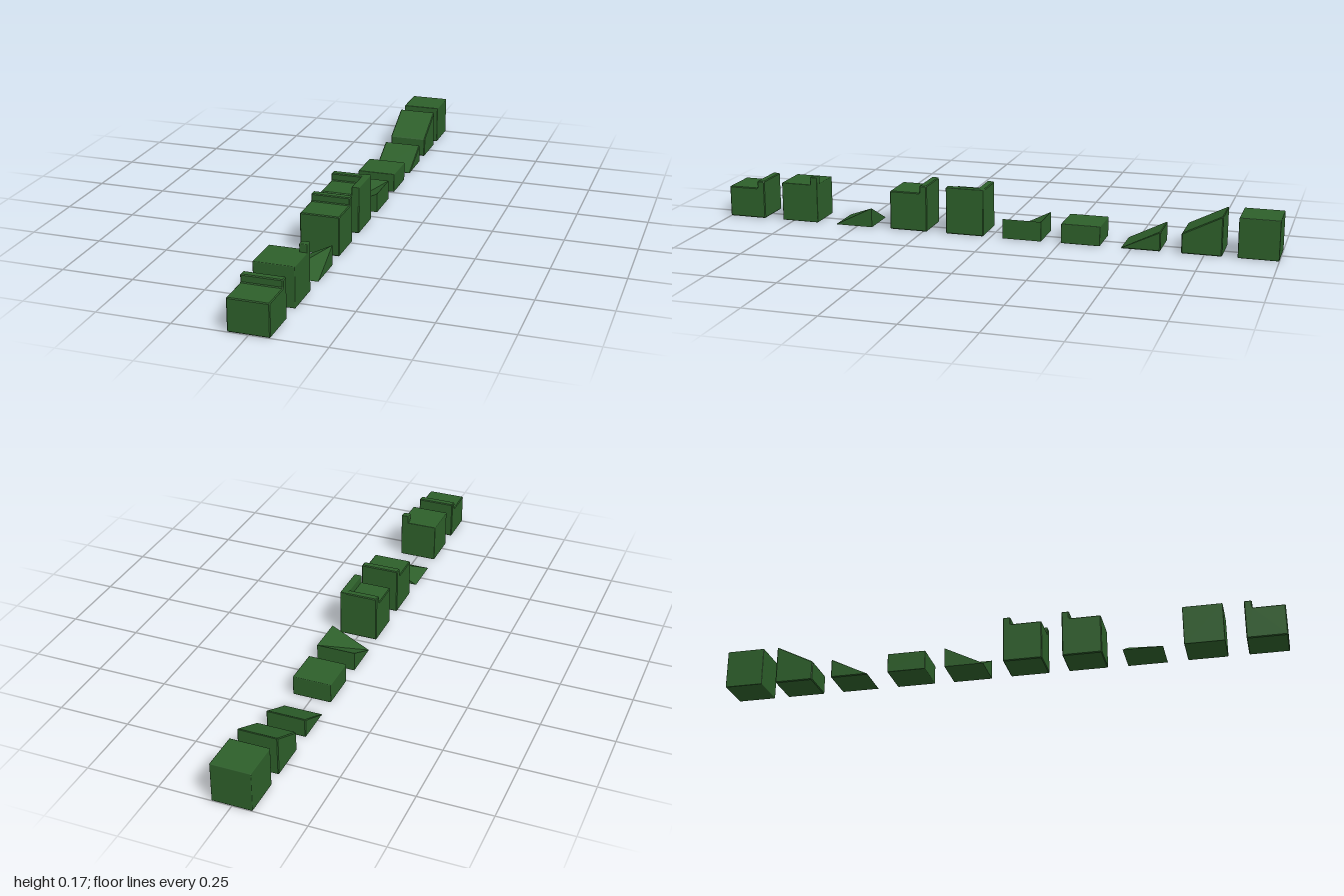
import * as THREE from 'three';
import { RoundedBoxGeometry } from 'three/addons/geometries/RoundedBoxGeometry.js';

const W = 0.138;      // tile footprint
const PITCH = 0.209;  // spacing along the row
const LOW = 0.07, BODY = 0.14, TOP = 0.168, RIM = 0.027;
const BEVEL = 0.003;

export function createModel() {
  const model = new THREE.Group();
  const material = new THREE.MeshStandardMaterial({ color: 0x2d5f2a });

  // Side profile (distance from tile front, height) with clipped corners, bevelled across x
  function profileGeometry(points) {
    const pts = points.map(p => new THREE.Vector2(...p));
    const outline = [];
    pts.forEach((p, i) => {
      for (const q of [pts.at(i - 1), pts[(i + 1) % pts.length]]) {
        outline.push(p.clone().add(q.clone().sub(p).setLength(BEVEL)));
      }
    });
    const g = new THREE.ExtrudeGeometry(new THREE.Shape(outline), {
      depth: W - 2 * BEVEL, bevelThickness: BEVEL, bevelSize: BEVEL,
      bevelOffset: -BEVEL, bevelSegments: 1,
    });
    return g.translate(0, 0, BEVEL - W / 2).rotateY(Math.PI / 2).translate(0, 0, W / 2);
  }

  // Block whose top folds along the front-left to back-right diagonal
  function foldedGeometry(heights) { // front-left, front-right, back-right, back-left
    const h = W / 2;
    const plan = [[-h, h], [h, h], [h, -h], [-h, -h]];
    const low = plan.map(([x, z]) => [x, 0, z]);
    const high = plan.map(([x, z], i) => [x, heights[i], z]);
    const tris = [high[0], high[1], high[2], high[0], high[2], high[3],
      low[0], low[2], low[1], low[0], low[3], low[2]];
    for (let i = 0; i < 4; i++) {
      const j = (i + 1) % 4;
      if (heights[j] > 0) tris.push(low[i], low[j], high[j]);
      if (heights[i] > 0) tris.push(low[i], high[j], high[i]);
    }
    const g = new THREE.BufferGeometry();
    g.setAttribute('position', new THREE.Float32BufferAttribute(tris.flat(), 3));
    g.computeVertexNormals();
    return g;
  }

  const block = height => new RoundedBoxGeometry(W, height, W, 1, BEVEL).translate(0, height / 2, 0);
  const ridged = base => profileGeometry([[0, 0], [W, 0], [W, base + RIM], [W - RIM, base + RIM],
    [W - RIM, base], [0, base]]);
  const slope = (front, back) => profileGeometry(front > 0
    ? [[0, 0], [W, 0], [W, back], [0, front]]
    : [[0, 0], [W, 0], [W, back]]);
  // Raised rim on the left side, running forward from the back edge
  const rim = length => new RoundedBoxGeometry(RIM, 0.07, length, 1, BEVEL)
    .translate(W / 2 - RIM / 2, TOP - 0.035, -W / 2 + length / 2);

  // Row of tiles, front to back
  const tiles = [
    ['lowRidgedTile', [ridged(0.112)]],
    ['cornerPostTile', [block(BODY), rim(RIM)]],
    ['outerCornerSlope', [foldedGeometry([0, 0, LOW, 0])]],
    ['ridgedTile', [ridged(BODY)]],
    ['cornerRidgedTile', [ridged(BODY), rim(W)]],
    ['innerCornerSlope', [foldedGeometry([0, LOW, LOW, LOW])]],
    ['halfBlock', [block(LOW)]],
    ['lowSlope', [slope(0, LOW)]],
    ['highSlope', [slope(LOW, BODY)]],
    ['fullBlock', [block(BODY)]],
  ];
  tiles.forEach(([name, parts], i) => {
    const tile = new THREE.Group();
    tile.name = name;
    parts.forEach((geometry, k) => {
      const mesh = new THREE.Mesh(geometry, material);
      mesh.name = k ? 'rim' : 'body';
      tile.add(mesh);
    });
    const last = i === tiles.length - 1; // the end block sits slightly closer
    tile.position.z = last ? -1 + W / 2 : 1 - W / 2 - i * PITCH;
    model.add(tile);
  });
  return model;
}
